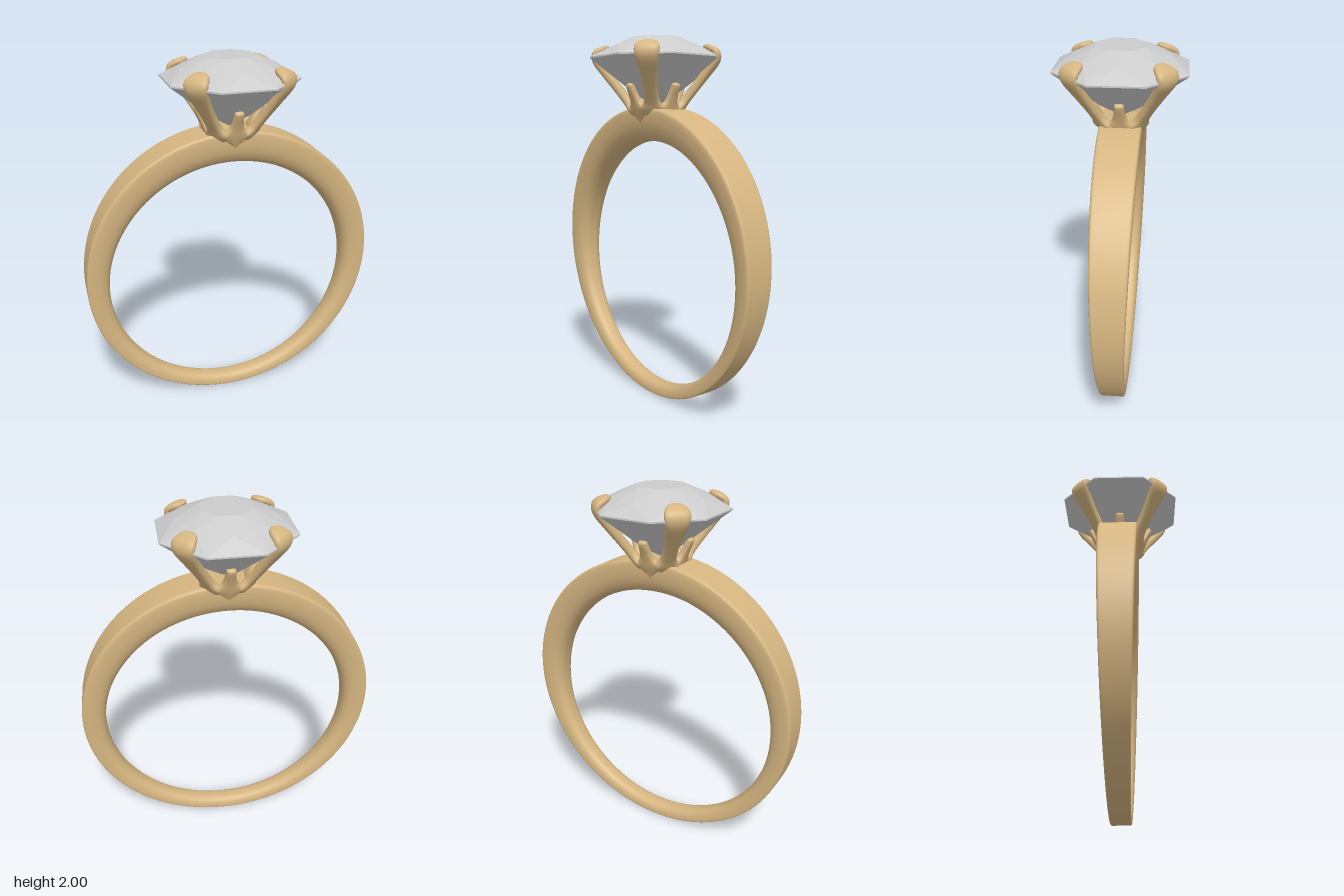
import * as THREE from 'three';
import { ConvexGeometry } from 'three/addons/geometries/ConvexGeometry.js';

const gold = new THREE.MeshStandardMaterial({ color: 0xd6b681 });
const stone = new THREE.MeshStandardMaterial({ color: 0xcccccc, flatShading: true });

// Skin a list of closed cross-sections; optionally join the last to the first
function loft(rings, closed) {
  const n = rings[0].length, m = rings.length, index = [];
  for (let i = 0; i < (closed ? m : m - 1); i++) {
    for (let j = 0; j < n; j++) {
      const a = i * n + j, b = i * n + (j + 1) % n;
      const d = ((i + 1) % m) * n + j, c = ((i + 1) % m) * n + (j + 1) % n;
      index.push(a, b, c, a, c, d);
    }
  }
  const g = new THREE.BufferGeometry().setFromPoints(rings.flat());
  g.setIndex(index);
  g.computeVertexNormals();
  return g;
}

// Band: off-centre inner circle makes it thick at the top, width tapers downward
function bandGeometry() {
  // [inner to outer, share of half width]
  const half = [[0, 0.2], [0.03, 0.42], [0.1, 0.63], [0.22, 0.8], [0.4, 0.92], [0.6, 0.98],
    [0.8, 1], [0.92, 0.99], [0.97, 0.96], [0.995, 0.9], [1, 0.82], [1, 0.4]];
  const profile = [...half.map(([v, s]) => [v, -s]), ...half.slice().reverse()];
  const rings = [], steps = 128;
  for (let i = 0; i < steps; i++) {
    const a = (i / steps) * Math.PI * 2, sx = Math.sin(a), cy = Math.cos(a);
    rings.push(profile.map(([v, s]) => {
      const r = THREE.MathUtils.lerp(0.69, 0.815, v);
      const y = THREE.MathUtils.lerp(0.757, 0.815, v) + r * cy;
      const width = 0.055 + 0.055 * (0.815 + 0.815 * cy) / 1.63;
      return new THREE.Vector3(r * sx, y, s * width);
    }));
  }
  return loft(rings, true);
}

// Prong leaning along +x; stations are [radius, height, half width, half thickness]
function prongGeometry(stations) {
  const path = new THREE.CatmullRomCurve3(stations.map(([r, y]) => new THREE.Vector3(r, y, 0)), false, 'catmullrom');
  const size = new THREE.CatmullRomCurve3(stations.map(([, , w, t]) => new THREE.Vector3(w, t, 0)), false, 'catmullrom');
  const rings = [], steps = 48, sides = 20;
  const soft = (c) => Math.sign(c) * Math.abs(c) ** 0.75;
  for (let i = 0; i <= steps; i++) {
    const p = path.getPoint(i / steps), d = path.getTangent(i / steps), s = size.getPoint(i / steps);
    const w = Math.max(s.x, 0.0005), t = Math.max(s.y, 0.0005), ring = [];
    for (let j = 0; j < sides; j++) {
      const a = (j / sides) * Math.PI * 2, out = soft(Math.cos(a)) * t;
      ring.push(new THREE.Vector3(p.x + d.y * out, p.y - d.x * out, -soft(Math.sin(a)) * w));
    }
    rings.push(ring);
  }
  return loft(rings, false);
}

// Octagonal brilliant: [radius, height, turn in eighths]
function gemGeometry() {
  const points = [new THREE.Vector3(0, 1.635, 0)];
  const levels = [[0.135, 2.0, 0.5], [0.245, 1.952, 0], [0.362, 1.893, 0.5], [0.362, 1.885, 0.5], [0.11, 1.695, 0.5]];
  for (const [r, y, turn] of levels) {
    for (let k = 0; k < 8; k++) {
      const a = (k + turn) * Math.PI / 4;
      points.push(new THREE.Vector3(r * Math.cos(a), y, r * Math.sin(a)));
    }
  }
  return new ConvexGeometry(points);
}

export function createModel() {
  const ring = new THREE.Group();
  ring.name = 'ring';
  const add = (name, geometry, material, turn = 0) => {
    const mesh = new THREE.Mesh(geometry, material);
    mesh.name = name;
    mesh.rotation.y = turn;
    ring.add(mesh);
  };

  add('band', bandGeometry(), gold);
  add('gemstone', gemGeometry(), stone);

  // Long corner prongs hook over the stone's edge
  const claw = prongGeometry([[0.09, 1.56, 0.0, 0.01], [0.125, 1.615, 0.065, 0.024], [0.155, 1.66, 0.042, 0.025],
    [0.205, 1.725, 0.037, 0.025], [0.265, 1.8, 0.045, 0.025], [0.322, 1.875, 0.06, 0.025],
    [0.326, 1.915, 0.065, 0.022], [0.3, 1.935, 0.056, 0.02], [0.27, 1.948, 0.036, 0.015], [0.253, 1.953, 0, 0]]);
  // Short prongs between them, pointed at the foot
  const support = prongGeometry([[0.095, 1.55, 0.0, 0.015], [0.105, 1.585, 0.045, 0.02], [0.118, 1.62, 0.075, 0.022],
    [0.132, 1.655, 0.042, 0.021], [0.148, 1.69, 0.03, 0.02], [0.168, 1.73, 0.025, 0.019],
    [0.176, 1.748, 0.022, 0.015], [0.179, 1.755, 0, 0]]);
  for (let k = 0; k < 4; k++) {
    const turn = k * Math.PI / 2;
    add('cornerProng', claw, gold, turn + Math.PI / 4);
    add('supportProng', support, gold, turn);
  }
  return ring;
}
